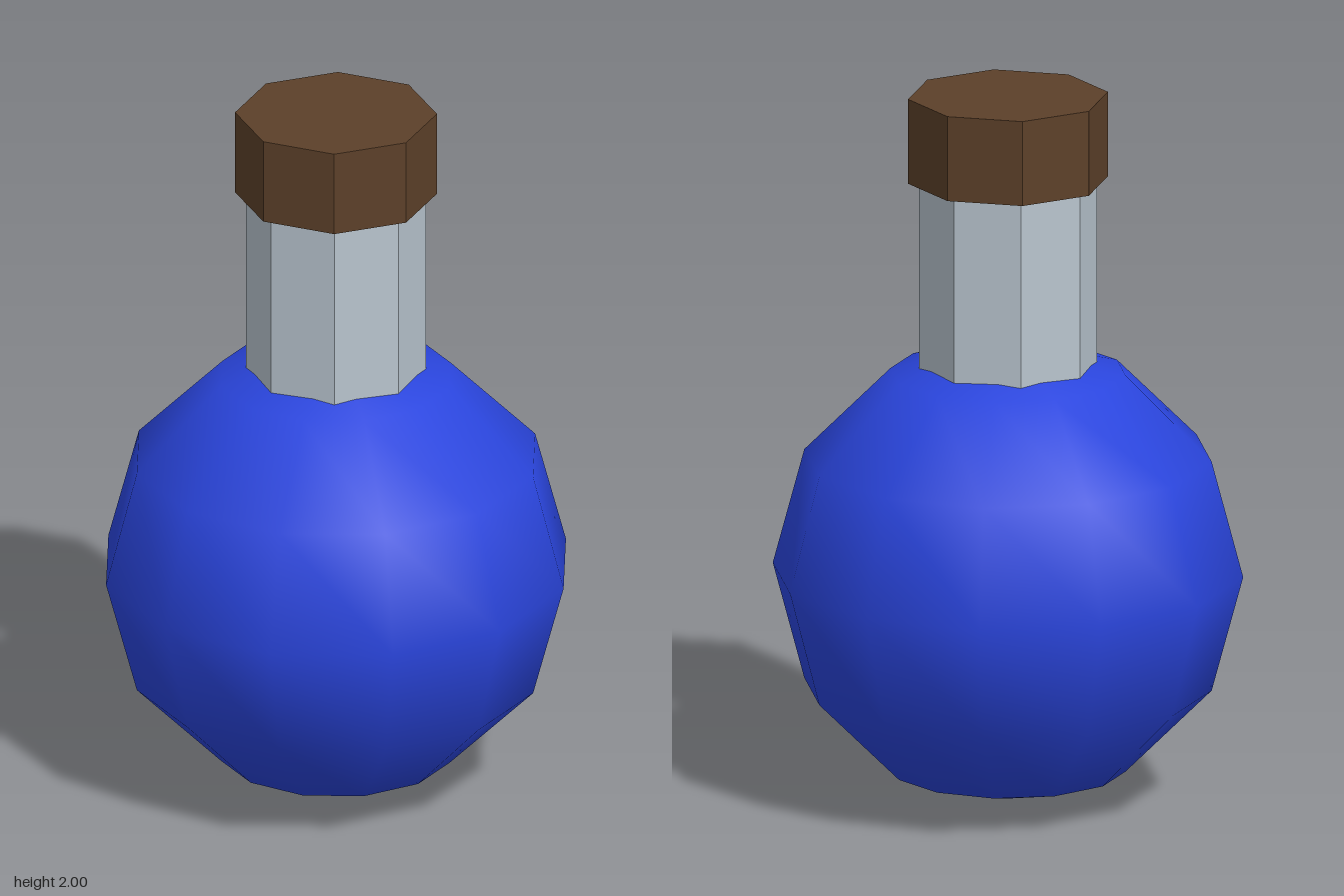
import * as THREE from 'three';

export function createModel() {
  const model = new THREE.Group();
  model.name = 'potionFlask';

  function addPart(name, geometry, color, y, flatShading) {
    const material = new THREE.MeshStandardMaterial({ color, flatShading });
    const mesh = new THREE.Mesh(geometry, material);
    mesh.name = name;
    mesh.position.y = y;
    model.add(mesh);
  }

  // Eight-sided upright prism between two heights
  function addPrism(name, radius, bottom, top, color) {
    const geometry = new THREE.CylinderGeometry(radius, radius, top - bottom, 8);
    addPart(name, geometry, color, (bottom + top) / 2, true);
  }

  // Round liquid-filled body, smooth shaded with a coarse outline
  addPart('body', new THREE.SphereGeometry(0.65, 12, 6), 0x2a45dd, 0.652, false);

  // Neck starts inside the body and ends under the stopper
  addPrism('neck', 0.247, 1.15, 1.77, 0xb8c4ce);
  addPrism('stopper', 0.277, 1.76, 2, 0x5c4029);

  return model;
}
